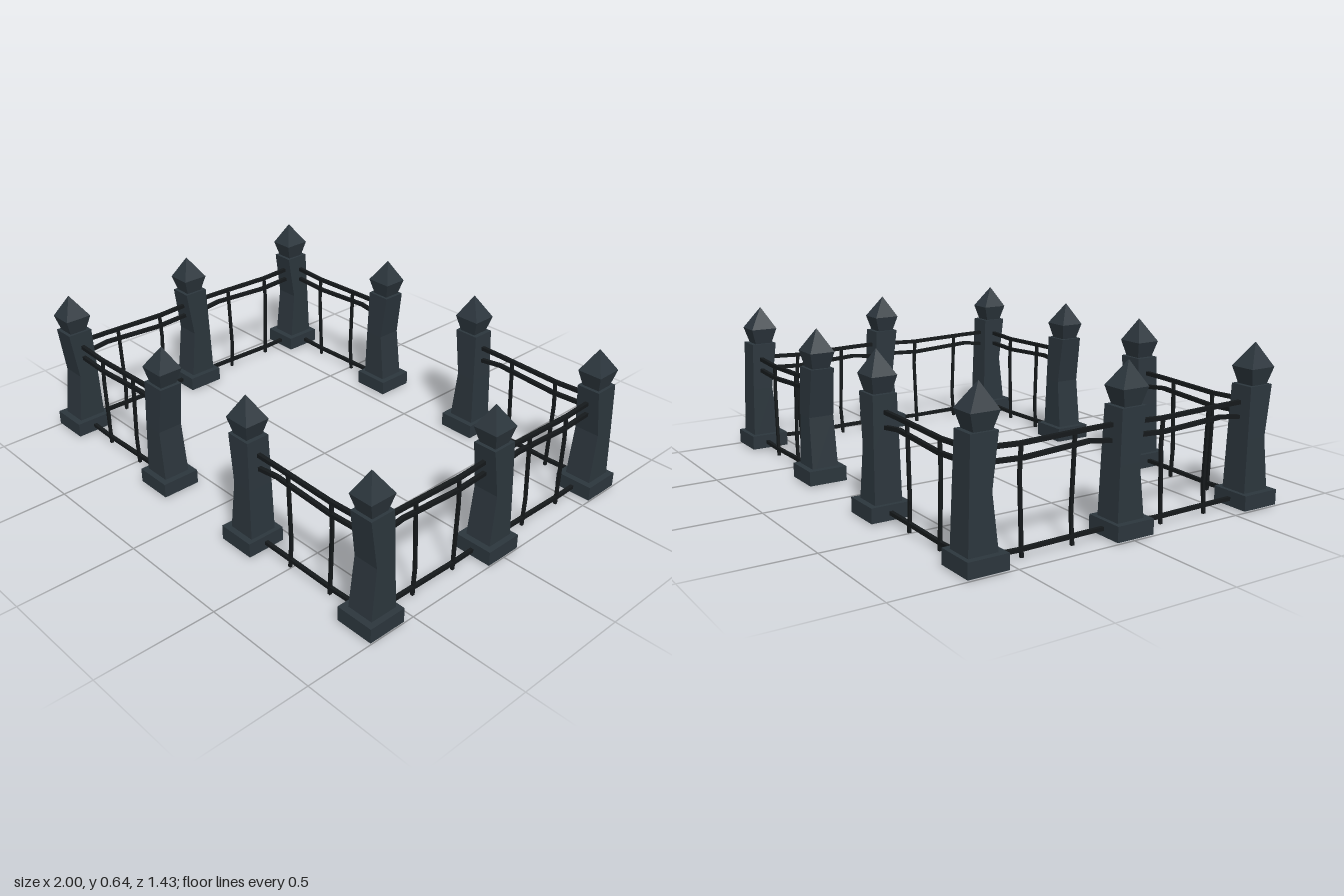
import * as THREE from 'three';

const stone = new THREE.MeshStandardMaterial({ color: 0x2c363d });
stone.name = 'dark slate stone';
const iron = new THREE.MeshStandardMaterial({ color: 0x15191b });
iron.name = 'black iron';

// Flat-shaded four-sided loft; each section is [y, xMin, xMax, halfDepth].
function loft(sections) {
  const n = sections.length - 1;
  const box = new THREE.BoxGeometry(1, 1, 1, 1, n, 1);
  const p = box.attributes.position;
  for (let i = 0; i < p.count; i++) {
    const [y, x0, x1, d] = sections[Math.round((p.getY(i) + 0.5) * n)];
    p.setXYZ(i, p.getX(i) < 0 ? x0 : x1, y, p.getZ(i) < 0 ? -d : d);
  }
  const flat = box.toNonIndexed();
  flat.computeVertexNormals();
  return flat;
}

// Crooked horizontal bar through [x, y] points.
function railGeometry(points, size) {
  const n = points.length - 1;
  const box = new THREE.BoxGeometry(1, size, size, n, 1, 1);
  const p = box.attributes.position;
  for (let i = 0; i < p.count; i++) {
    const [x, y] = points[Math.round((p.getX(i) + 0.5) * n)];
    p.setXYZ(i, x, y + p.getY(i), p.getZ(i));
  }
  const flat = box.toNonIndexed();
  flat.computeVertexNormals();
  return flat;
}

// Crooked upright bar through [x, y] points.
const picketGeometry = (points, h) => loft(points.map(([x, y]) => [y, x - h, x + h, h]));

function add(parent, name, geometry, material) {
  const mesh = new THREE.Mesh(geometry, material);
  mesh.name = name;
  parent.add(mesh);
}

function square(path, h) {
  path.moveTo(-h, -h);
  path.lineTo(h, -h);
  path.lineTo(h, h);
  path.lineTo(-h, h);
  path.closePath();
  return path;
}

// Plinth with a square recess underneath
const plinth = square(new THREE.Shape(), 0.0825);
plinth.holes.push(square(new THREE.Path(), 0.05));
const plinthGeometry = new THREE.ExtrudeGeometry(plinth, { depth: 0.061, bevelEnabled: false });
plinthGeometry.rotateX(-Math.PI / 2);
plinthGeometry.translate(0, 0.006, 0);

// Shaft with a bent waist
const shaftGeometry = loft([
  [0.03, -0.066, 0.059, 0.058],
  [0.28, -0.058, 0.031, 0.054],
  [0.483, -0.051, 0.059, 0.05],
]);

// Pointed finial
const finialGeometry = loft([
  [0.48, -0.031, 0.043, 0.037],
  [0.55, -0.052, 0.064, 0.053],
  [0.643, 0.011, 0.013, 0.001],
]);

function makePost(x, z, turn) {
  const post = new THREE.Group();
  post.name = 'post';
  add(post, 'plinth', plinthGeometry, stone);
  add(post, 'shaft', shaftGeometry, stone);
  add(post, 'finial', finialGeometry, stone);
  post.position.set(x, 0, z);
  post.rotation.y = turn;
  return post;
}

// Panel running along local +x, between two post centres
const L = 0.635;
const topRail = railGeometry([[0, 0.417], [0.15, 0.415], [0.44, 0.407], [L, 0.416]], 0.016);
const middleRail = railGeometry([[0, 0.352], [0.15, 0.371], [0.43, 0.355], [L, 0.365]], 0.016);
const bottomRail = railGeometry([[0, 0.036], [0.16, 0.035], [0.45, 0.03], [L, 0.036]], 0.015);
const pickets = [
  picketGeometry([[0.216, 0], [0.224, 0.12], [0.212, 0.41]], 0.006),
  picketGeometry([[0.433, 0], [0.444, 0.3], [0.438, 0.405]], 0.006),
];

function makePanel(x, z, turn) {
  const panel = new THREE.Group();
  panel.name = 'fencePanel';
  add(panel, 'topRail', topRail, iron);
  add(panel, 'middleRail', middleRail, iron);
  add(panel, 'bottomRail', bottomRail, iron);
  for (const g of pickets) add(panel, 'picket', g, iron);
  panel.position.set(x, 0, z);
  panel.rotation.y = turn;
  return panel;
}

export function createModel() {
  const fence = new THREE.Group();
  fence.name = 'fence';
  for (const side of [-1, 1]) {
    // Side runs: two corner posts, a middle post and two panels
    for (const z of [0.63, 0.006, -0.62]) fence.add(makePost(side * 0.9175, z, -Math.PI / 2));
    for (const z of [0.63, 0.002]) fence.add(makePanel(side * 0.914, z, Math.PI / 2));
    // Gateway posts and panels at the front and back
    for (const z of [0.63, -0.633]) {
      fence.add(makePost(side * 0.271, z, side > 0 ? Math.PI : 0));
      fence.add(makePanel(side * 0.275, z, side > 0 ? 0 : Math.PI));
    }
  }
  return fence;
}
